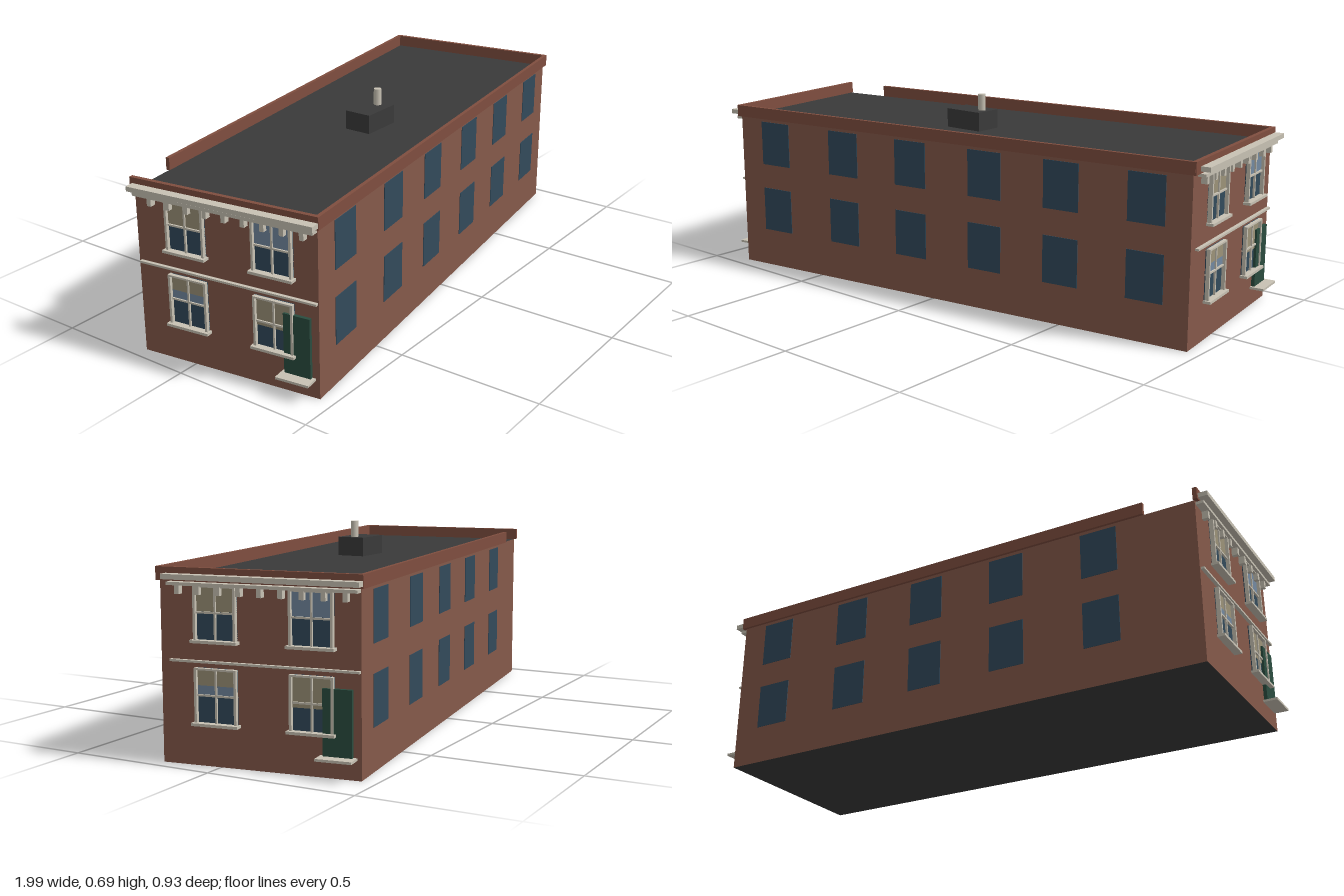
import * as THREE from 'three';

const mat = (name, color) => {
  const m = new THREE.MeshStandardMaterial({ color });
  m.name = name;
  return m;
};

export function createModel() {
  const brick = mat('brick', 0x85594a);
  const parapetBrick = mat('parapetBrick', 0x7f4e3f);
  const roof = mat('roofFelt', 0x3a3a3a);
  const trim = mat('stoneTrim', 0xc8c2b4);
  const glass = mat('darkGlass', 0x324a5b);
  const sky = mat('paleGlass', 0x7389a0);
  const blind = mat('blind', 0x9c9278);
  const green = mat('doorGreen', 0x2a4c3f);

  // Box given by its limits on each axis
  const box = (parent, name, material, [x0, x1], [y0, y1], [z0, z1]) => {
    const mesh = new THREE.Mesh(new THREE.BoxGeometry(x1 - x0, y1 - y0, z1 - z0), material);
    mesh.position.set((x0 + x1) / 2, (y0 + y1) / 2, (z0 + z1) / 2);
    mesh.name = name;
    parent.add(mesh);
    return mesh;
  };

  const L = 0.919, W = 0.325, wallTop = 0.565, top = 0.607;
  const model = new THREE.Group();
  model.name = 'rowBuilding';
  const building = new THREE.Group();
  building.name = 'building';
  building.rotation.y = THREE.MathUtils.degToRad(8);
  model.add(building);

  // Brick body with dark roof and underside
  box(building, 'body', [brick, brick, roof, roof, brick, brick], [-L, L], [0, wallTop], [-W, W]);

  // Parapets; the back one stops short of the left end
  box(building, 'frontParapet', parapetBrick, [-L - 0.01, L + 0.01], [wallTop, top], [W - 0.003, W + 0.01]);
  box(building, 'backParapet', parapetBrick, [-0.743, L + 0.01], [wallTop, top], [-W - 0.01, -W + 0.003]);

  // Plain windows on the two long walls
  const sideWindows = (xs, z) => {
    for (const x of xs) for (const y of [0.138, 0.391])
      box(building, 'sideWindow', glass, [x - 0.065, x + 0.065], [y, y + 0.162], [z - 0.002, z + 0.002]);
  };
  sideWindows([-0.755, -0.435, -0.138, 0.168, 0.462, 0.766], W);
  sideWindows([0.756, 0.415, 0.095, -0.228, -0.577], -W);

  // Sash window on an end wall: panes, blinds, frame bars and sill
  const sashWindow = (end, z, y0, y1, bands) => {
    const g = new THREE.Group();
    g.name = 'sashWindow';
    end.add(g);
    const h = 0.07, mid = (y0 + y1) / 2, f = [L, L + 0.016], thin = [L, L + 0.010];
    box(g, 'pane', glass, [L, L + 0.003], [y0, y1], [z - h, z + h]);
    for (const [material, a, b] of bands)
      box(g, 'upperPane', material, [L, L + 0.005], [a, b], [z - h + 0.006, z + h - 0.006]);
    for (const s of [-1, 1]) {
      const e = [z + s * h, z + s * (h - 0.008)].sort((a, b) => a - b);
      box(g, 'frameSide', trim, f, [y0, y1], e);
    }
    box(g, 'frameHead', trim, f, [y1 - 0.006, y1], [z - h, z + h]);
    box(g, 'meetingRail', trim, thin, [mid - 0.003, mid + 0.003], [z - h, z + h]);
    box(g, 'mullion', trim, thin, [y0, y1], [z - 0.003, z + 0.003]);
    box(g, 'sill', trim, [L, L + 0.026], [y0 - 0.009, y0], [z - 0.077, z + 0.077]);
  };

  // Decorated end wall, made facing +x; z1 is where its mouldings stop
  const endWall = (name, z1) => {
    const end = new THREE.Group();
    end.name = name;
    building.add(end);
    box(end, 'endParapet', parapetBrick, [L - 0.003, L + 0.012], [wallTop, top], [-W - 0.009, W + 0.009]);
    box(end, 'cornice', trim, [L, 0.963], [0.572, 0.588], [-0.333, z1]);
    box(end, 'corniceBed', trim, [L, 0.946], [0.553, 0.563], [-0.323, z1 - 0.008]);
    box(end, 'stringCourse', trim, [L, 0.931], [0.319, 0.326], [-0.323, z1 - 0.008]);
    for (let i = 0; i < 9; i++) {
      const z = 0.259 - i * 0.0676;
      box(end, 'corbel', trim, [L, 0.94], [0.526, 0.553], [z - 0.0075, z + 0.0075]);
    }
    sashWindow(end, 0.139, 0.39, 0.555, [[blind, 0.476, 0.553]]);
    sashWindow(end, -0.172, 0.39, 0.555, [[sky, 0.476, 0.553]]);
    sashWindow(end, 0.139, 0.136, 0.304, [[blind, 0.25, 0.302], [sky, 0.222, 0.25]]);
    sashWindow(end, -0.172, 0.136, 0.304, [[blind, 0.205, 0.302]]);
    box(end, 'door', green, [L, L + 0.012], [0.067, 0.27], [-0.299, -0.207]);
    box(end, 'doorStep', trim, [L, 0.968], [0.06, 0.068], [-0.311, -0.196]);
    return end;
  };
  endWall('rightEnd', 0.3);
  endWall('leftEnd', 0.325).rotation.y = Math.PI;

  // Roof hatch and vent pipe, square to the model's axes
  box(model, 'roofHatch', roof, [-0.13, 0.02], [wallTop, 0.632], [0.003, 0.103]);
  const pipe = new THREE.Mesh(new THREE.CylinderGeometry(0.0135, 0.0135, 0.06, 12), trim);
  pipe.position.set(-0.01, 0.66, 0.053);
  pipe.name = 'ventPipe';
  model.add(pipe);

  return model;
}
